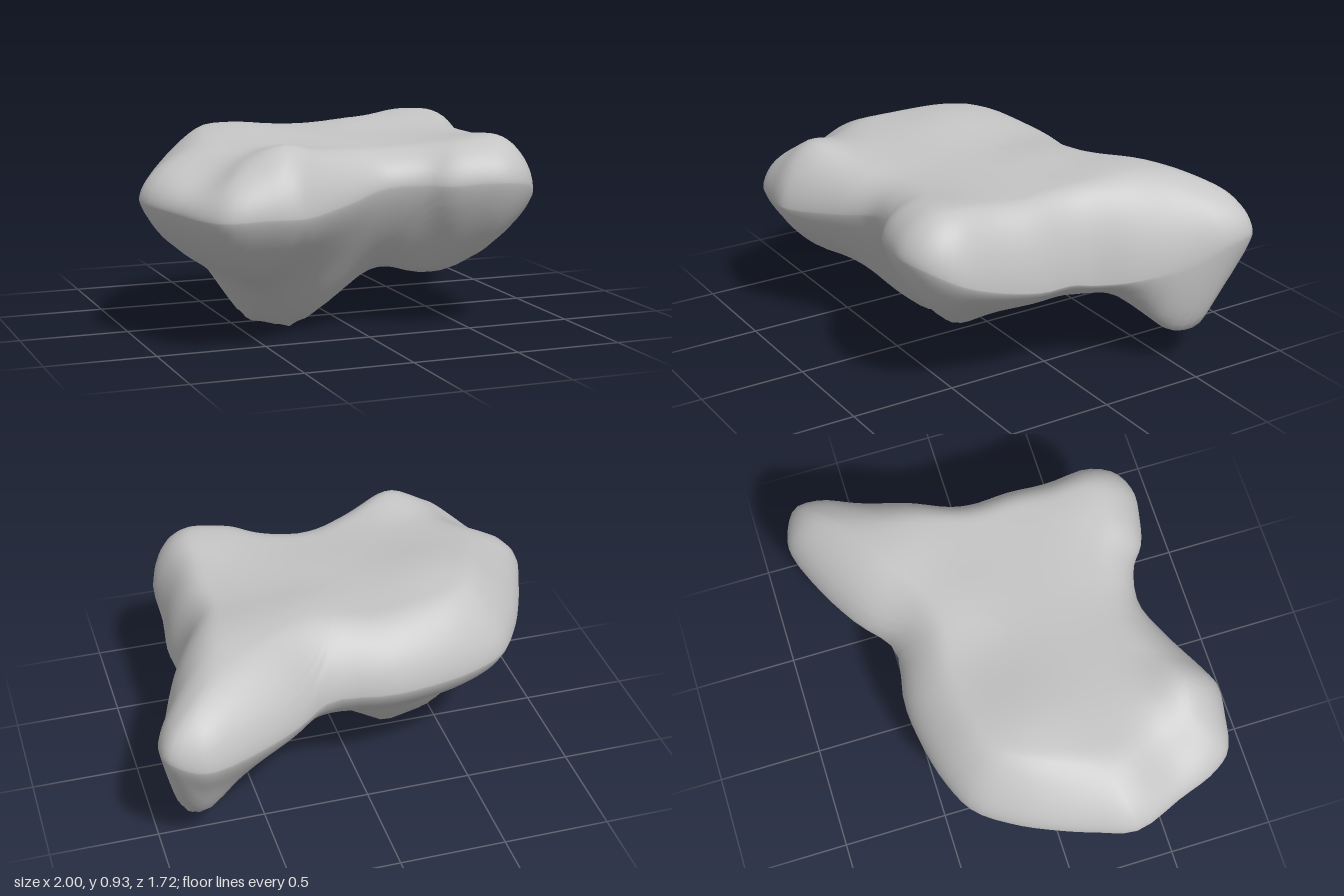
import * as THREE from 'three';
import { mergeVertices } from 'three/addons/utils/BufferGeometryUtils.js';

// Widest contour of the boulder: x, height of the widest point, z
const RIM = [
  [-1, .65, .28], [-.95, .64, .1], [-.88, .63, -.08], [-.8, .62, -.24], [-.68, .61, -.4], [-.52, .6, -.48],
  [-.33, .6, -.53], [-.1, .6, -.555], [.18, .6, -.525], [.36, .6, -.66], [.57, .6, -.78], [.8, .6, -.865],
  [.89, .61, -.855], [.99, .64, -.79], [1, .62, -.66], [.95, .54, -.5], [.87, .49, -.25], [.79, .48, -.08],
  [.77, .5, .03], [.78, .51, .2], [.76, .55, .4], [.76, .63, .6], [.68, .7, .73], [.56, .72, .78],
  [.43, .72, .765], [.3, .71, .73], [.2, .71, .66], [.02, .7, .625], [-.16, .66, .7], [-.4, .63, .83],
  [-.47, .63, .855], [-.6, .63, .84], [-.76, .62, .8], [-.84, .62, .7], [-.91, .63, .52],
];

const { clamp, smoothstep } = THREE.MathUtils;
const bump = (x, z, cx, cz, r) => Math.exp(-((x - cx) ** 2 + (z - cz) ** 2) / (r * r));
// Signed distance outside an interval
const beyond = (v, lo, hi) => v - clamp(v, lo, hi);

const softMin = (a, b, k) => {
  const h = Math.max(k - Math.abs(a - b), 0) / k;
  return Math.min(a, b) - h * h * k / 4;
};

// Nearly flat top with shallow swells and a lowered front corner
function topHeight(x, z) {
  return .882 + .052 * bump(x, z, -.45, -.08, .3) + .05 * bump(x, z, .58, -.35, .28)
    + .025 * bump(x, z, .2, -.2, .2) + .03 * bump(x, z, .55, .55, .2)
    + .04 * bump(x, z, -.46, .64, .14) - .02 * bump(x, z, .02, .5, .25)
    - .08 * bump(x, z, -.8, .55, .18) - .04 * bump(x, z, .95, -.75, .2);
}

// Underside: shallow hollow, a blunt keel and a hanging foot below the horn
function bottomHeight(x, z) {
  const base = .32 - .1 * bump(x, z, .3, .4, .22) - .04 * bump(x, z, -.55, .5, .25)
    + .03 * bump(x, z, .45, -.2, .25);

  const kx = beyond(x, -.46, -.24), kz = beyond(z, .03, .17);
  const keel = .75 * Math.hypot(kx * (kx < 0 ? 1.2 : 1), kz * (kz < 0 ? 1.3 : 1))
    + .25 * Math.max(0, -.28 - x);

  const fx = beyond(x, .84, .93), fz = beyond(z, -.6, -.4);
  const foot = .16 + Math.hypot(fx * .65, fz);
  return softMin(softMin(base, keel, .1), foot, .08);
}

// How far the surface has rolled from the rim (0) to the full height (1)
const roll = (d, radius, power) => (1 - (1 - Math.min(d / radius, 1)) ** 2) ** power;

function surfaceHeight(x, z, rimY, d, upper) {
  if (upper) {
    const radius = .19 + .2 * (1 - smoothstep(x, -.9, -.4)) + .08 * (1 - smoothstep(z, -.5, -.1));
    return rimY + (topHeight(x, z) - rimY) * roll(d, radius, .55);
  }
  const radius = .45 - .35 * bump(x, z, .92, -.5, .3);
  return rimY + (bottomHeight(x, z) - rimY) * roll(d, radius, .72);
}

function boulderGeometry() {
  const across = 112, down = 28;
  const rim = new THREE.CatmullRomCurve3(RIM.map(p => new THREE.Vector3(...p)), true, 'centripetal');
  const loop = rim.getPoints(across).slice(0, across);

  // Plan distance from a point to the nearest stretch of the rim
  const rimDistance = (x, z) => {
    let best = Infinity;
    loop.forEach((a, i) => {
      const b = loop[(i + 1) % across];
      const ex = b.x - a.x, ez = b.z - a.z;
      const t = clamp(((x - a.x) * ex + (z - a.z) * ez) / (ex * ex + ez * ez), 0, 1);
      best = Math.min(best, Math.hypot(x - a.x - t * ex, z - a.z - t * ez));
    });
    return best;
  };

  // Rings run from the middle of the top, out to the rim and back underneath
  const positions = [], index = [];
  for (let j = 0; j <= down * 2; j++) {
    const upper = j <= down;
    const t = (upper ? j : 2 * down - j) / down;
    const s = Math.sin(t * Math.PI / 2) ** .8;
    for (const p of loop) {
      const x = p.x * s, z = p.z * s;
      const d = t === 1 ? 0 : rimDistance(x, z);
      positions.push(x, surfaceHeight(x, z, p.y, d, upper), z);
    }
  }
  for (let j = 0; j < down * 2; j++) {
    for (let i = 0; i < across; i++) {
      const n = (i + 1) % across;
      const a = j * across + i, b = j * across + n;
      const c = b + across, d = a + across;
      if (j > 0) index.push(a, b, c);
      if (j < down * 2 - 1) index.push(a, c, d);
      else index.push(a, b, d);
    }
  }
  const raw = new THREE.BufferGeometry();
  raw.setAttribute('position', new THREE.Float32BufferAttribute(positions, 3));
  raw.setIndex(index);
  const geometry = mergeVertices(raw, 1e-5);
  geometry.computeVertexNormals();
  return geometry;
}

export function createModel() {
  const group = new THREE.Group();
  group.name = 'rock';
  const stone = new THREE.MeshStandardMaterial({ color: 0xc4c4c4 });
  stone.name = 'stone grey';
  const boulder = new THREE.Mesh(boulderGeometry(), stone);
  boulder.name = 'boulder';
  group.add(boulder);
  return group;
}
